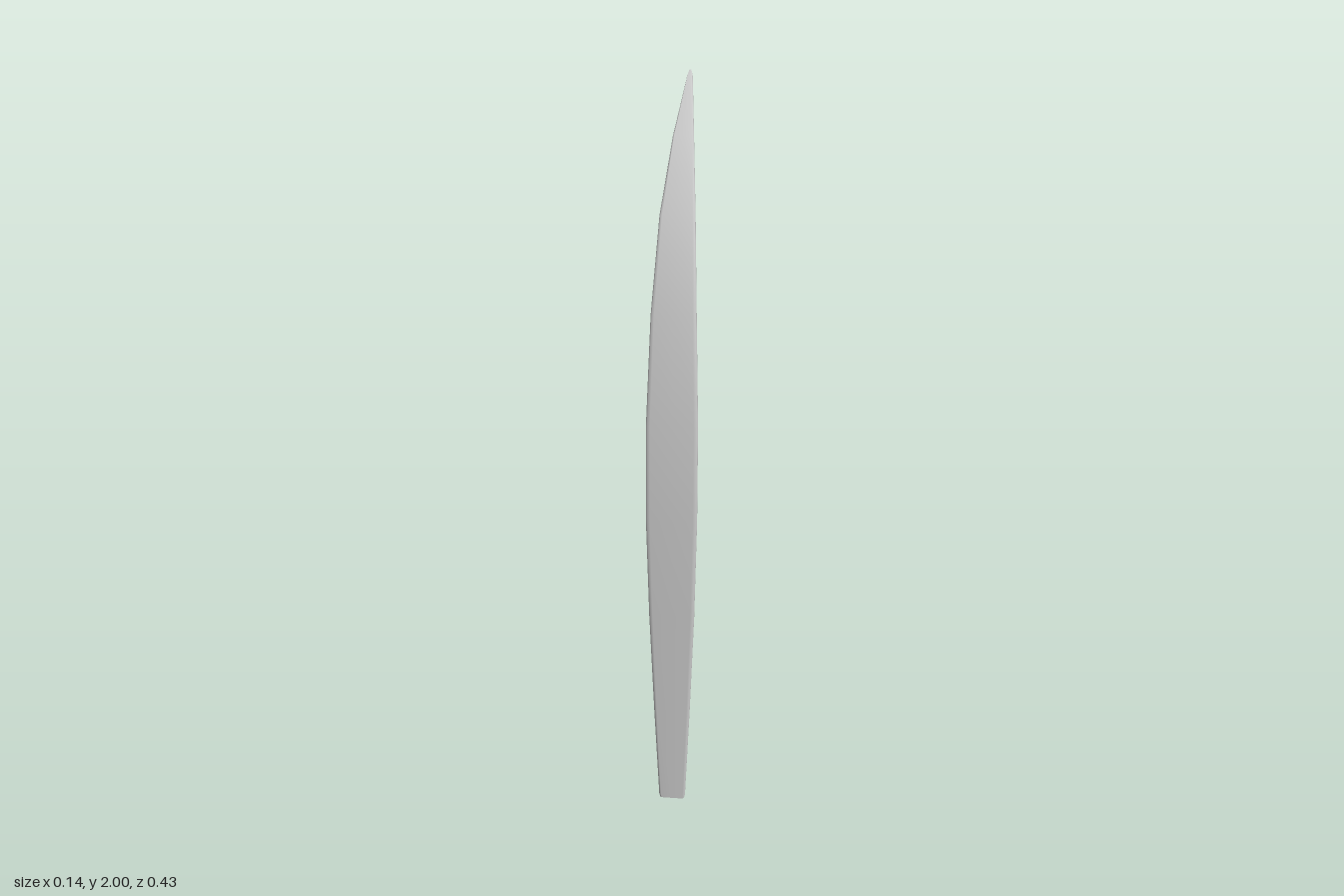
import * as THREE from 'three';

// Blade stations from foot to tip: [y, z, half width]
const STATIONS = [
  [0, 0.205, 0.034], [0.01, 0.205, 0.037], [0.28, 0.205, 0.05], [0.57, 0.205, 0.062],
  [0.85, 0.205, 0.069], [1.11, 0.191, 0.069], [1.4, 0.153, 0.06], [1.645, 0.072, 0.047],
  [1.835, -0.052, 0.028], [1.983, -0.198, 0.007], [1.994, -0.209, 0.003],
];
const HALF_THICKNESS = 0.0075;

// One quarter of the rounded flat section, mirrored into a full loop
const QUARTER = [[1, 0.35], [0.95, 0.8], [0.84, 1]];
const SECTION = [
  ...QUARTER, [0, 1],
  ...QUARTER.map(([x, n]) => [-x, n]).reverse(),
  ...QUARTER.map(([x, n]) => [-x, -n]), [0, -1],
  ...QUARTER.map(([x, n]) => [x, -n]).reverse(),
];

function bladeGeometry() {
  const count = SECTION.length;
  const positions = [];
  const index = [];

  // Section loops set square to the bending centre line
  const rings = STATIONS.map(([y, z, w], i) => {
    const before = STATIONS[Math.max(i - 1, 0)];
    const after = STATIONS[Math.min(i + 1, STATIONS.length - 1)];
    const dir = (a, b) => new THREE.Vector2(b[0] - a[0], b[1] - a[1]).normalize();
    const here = STATIONS[i];
    const t = dir(before, here).add(dir(here, after)).normalize();
    return SECTION.map(([sx, sn]) => [
      sx * w, y - t.y * sn * HALF_THICKNESS, z + t.x * sn * HALF_THICKNESS,
    ]);
  });
  rings.forEach((ring) => ring.forEach((p) => positions.push(...p)));

  // Smooth skin between the loops
  for (let i = 0; i < rings.length - 1; i++) {
    for (let j = 0; j < count; j++) {
      const k = (j + 1) % count;
      const a = i * count + j, b = i * count + k;
      index.push(a, a + count, b + count, a, b + count, b);
    }
  }

  // Flat end caps with their own vertices for a crisp edge
  const addCap = (ring, [y, z], top) => {
    const start = positions.length / 3;
    positions.push(0, y, z);
    ring.forEach((p) => positions.push(...p));
    for (let j = 0; j < count; j++) {
      const a = start + 1 + j, b = start + 1 + ((j + 1) % count);
      index.push(start, top ? b : a, top ? a : b);
    }
  };
  addCap(rings[0], STATIONS[0], false);
  addCap(rings[rings.length - 1], STATIONS[STATIONS.length - 1], true);

  const geometry = new THREE.BufferGeometry();
  geometry.setAttribute('position', new THREE.Float32BufferAttribute(positions, 3));
  geometry.setIndex(index);
  geometry.computeVertexNormals();
  return geometry;
}

export function createModel() {
  const group = new THREE.Group();
  group.name = 'curvedBlade';
  const blade = new THREE.Mesh(
    bladeGeometry(), new THREE.MeshStandardMaterial({ color: 0xcccccc }),
  );
  blade.name = 'blade';
  group.add(blade);
  return group;
}
